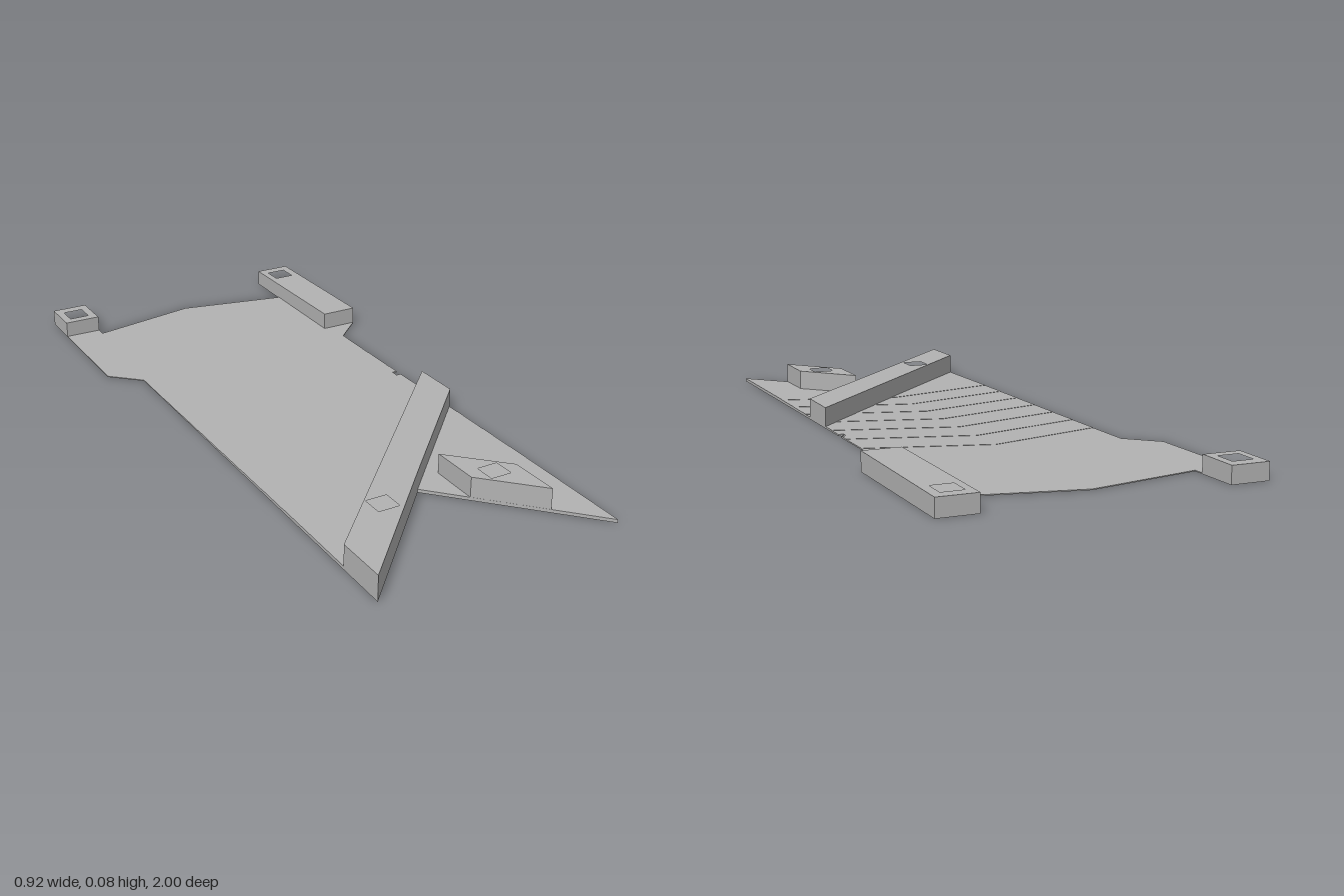
import * as THREE from 'three';

const grey = new THREE.MeshStandardMaterial({ color: 0xb2b2b2 });
grey.name = 'plain grey';

// Square hole around (x, z), as a counter-wound outline
const square = (x, z, r = 0.032) => [[x - r, z - r], [x + r, z - r], [x + r, z + r], [x - r, z + r]];
const toPoints = (pts) => pts.map(([x, z]) => new THREE.Vector2(x, -z));

// Upright slab from a plan outline in x, z
function slab(name, outline, holes, bottom, top) {
  const shape = new THREE.Shape(toPoints(outline));
  holes.forEach((h) => shape.holes.push(new THREE.Path(toPoints(h))));
  const geo = new THREE.ExtrudeGeometry(shape, { depth: 1, bevelEnabled: false });
  geo.rotateX(-Math.PI / 2);
  // top may be a height or a rule of z
  const p = geo.attributes.position;
  for (let i = 0; i < p.count; i++) {
    const t = typeof top === 'function' ? top(p.getZ(i)) : top;
    p.setY(i, p.getY(i) > 0.5 ? t : bottom);
  }
  geo.computeVertexNormals();
  const mesh = new THREE.Mesh(geo, grey);
  mesh.name = name;
  return mesh;
}

export function createModel() {
  const group = new THREE.Group();
  group.name = 'bannerPlate';

  const backLeft = square(0.4, -0.932);
  const backRight = square(-0.403, -0.932);
  const frontLeft = square(0.175, 0.715);
  const frontRight = square(-0.18, 0.715);
  const notch = [[0.37, -0.075], [0.354, -0.075], [0.354, -0.05], [0.37, -0.05]];
  const tails = [[0.37, 1], [0, 0.61], [-0.37, 1]];

  // Thin base sheet with shoulders, swallow tail and a small edge notch
  const baseTop = 0.003;
  group.add(slab('baseSheet', [
    [-0.46, -1], [-0.345, -1], [-0.345, -0.838], [0, -0.908], [0.345, -0.838], [0.345, -1],
    [0.46, -1], [0.46, -0.5], [0.37, -0.415], ...notch, ...tails,
    [-0.37, -0.415], [-0.46, -0.5],
  ], [backLeft, backRight, frontLeft, frontRight], 0, baseTop));

  // Very shallow chevron steps rising towards the tails
  const step = 0.001;
  for (let k = 0; k < 7; k++) {
    const tip = -0.35 + 0.13 * k;
    const end = tip + 0.1;
    const y = baseTop + step * k;
    group.add(slab('chevronStep' + (k + 1), [
      [0, tip], [0.37, end], ...(end < -0.08 ? notch : []), ...tails, [-0.37, end],
    ], [frontLeft, frontRight], y, y + step));
  }

  // Raised bars, their tops lying on one gentle slope
  const slope = (z) => 0.051 + 0.012 * (z + 1);
  const bars = [
    ['backRightBlock', [[-0.46, -1], [-0.345, -1], [-0.345, -0.87], [-0.46, -0.87]], backRight],
    ['backLeftBar', [[0.345, -1], [0.46, -1], [0.46, -0.5], [0.345, -0.5]], backLeft],
    ['diagonalBar', [[0.37, 0.07], [0.37, 0.225], [0, 0.61], [-0.37, 1], [-0.37, 0.84]], frontRight],
    ['frontLeftBlock', [[0.1, 0.56], [0.25, 0.715], [0.25, 0.873], [0.1, 0.715]], frontLeft],
  ];
  bars.forEach(([name, outline, hole]) => group.add(slab(name, outline, [hole], baseTop, slope)));

  return group;
}
